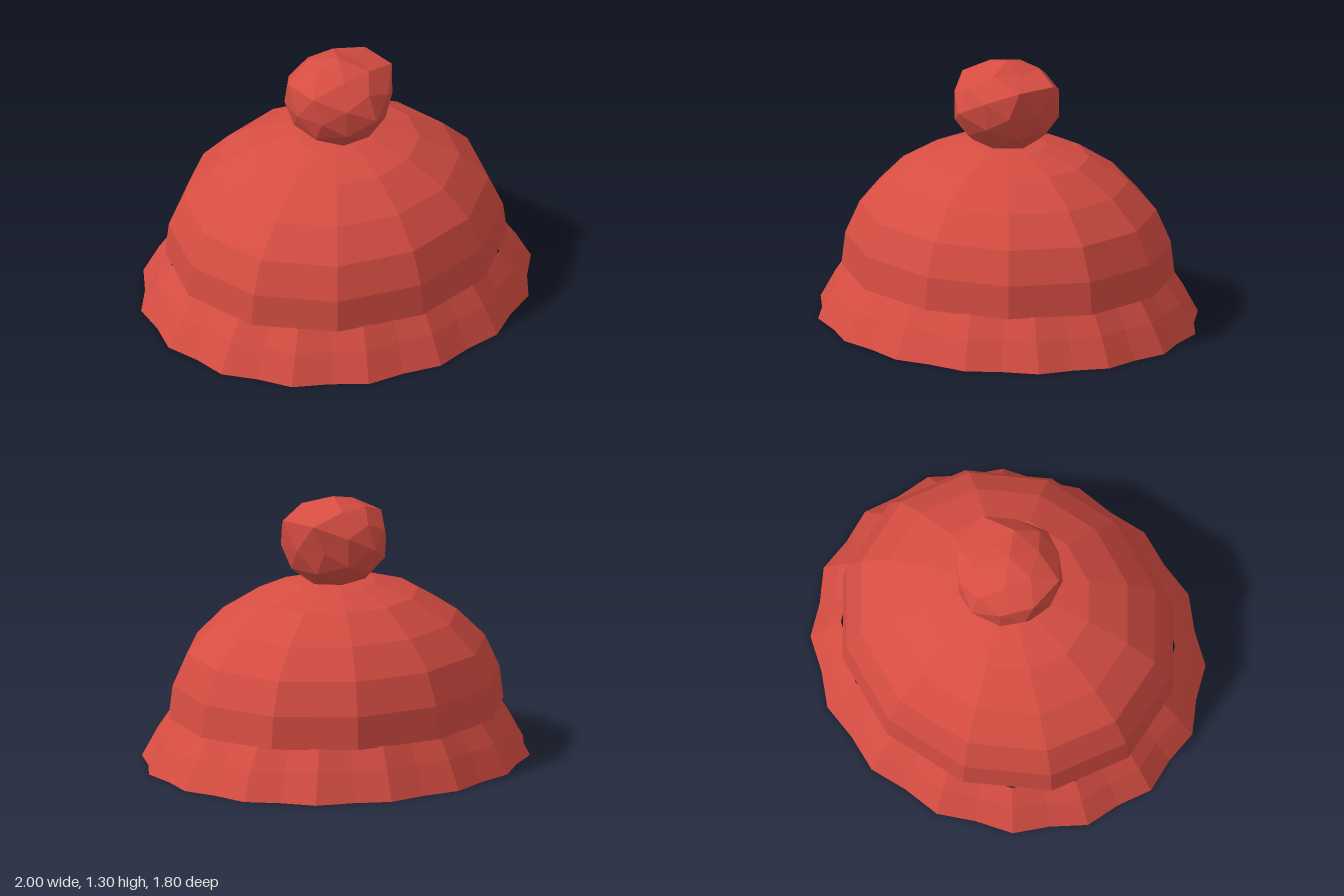
import * as THREE from 'three';

const RX = 1, RZ = 0.9; // the hat is slightly oval

// Faceted shell through oval rings; profile = [radius, height] from bottom to top
function shell(profile, sides, turn, ripple = () => 1) {
  const pos = [], index = [];
  profile.forEach(([r, y]) => {
    for (let i = 0; i < sides; i++) {
      const a = turn + (i / sides) * Math.PI * 2;
      const k = r * ripple(i);
      pos.push(RX * k * Math.cos(a), y, RZ * k * Math.sin(a));
    }
  });
  for (let j = 0; j < profile.length - 1; j++) {
    for (let i = 0; i < sides; i++) {
      const n = (i + 1) % sides;
      const a = j * sides + i, b = j * sides + n, c = a + sides, d = b + sides;
      index.push(a, c, b);
      if (profile[j + 1][0] > 0) index.push(b, c, d);
    }
  }
  const geo = new THREE.BufferGeometry();
  geo.setAttribute('position', new THREE.Float32BufferAttribute(pos, 3));
  geo.setIndex(index);
  const flat = geo.toNonIndexed();
  flat.computeVertexNormals();
  return flat;
}

// Lumpy ball: a subdivided icosahedron with a few corners pulled or dented
function lumpyBall() {
  const geo = new THREE.IcosahedronGeometry(1, 1);
  const lumps = [
    [0.81, 0.5, 0.31, 1.2], [0.81, 0.5, -0.31, 1.2], // raised ridge
    [0.53, 0.85, 0, 0.9],                            // dent above the ridge
    [-0.81, 0.5, 0.31, 1.13], [-0.81, 0.5, -0.31, 1.13],
    [0, 0, 1, 1.06], [0, 0, -1, 1.02], [0.85, 0, -0.53, 0.96],
    [-0.31, 0.81, 0.5, 0.97], [0.5, -0.31, 0.81, 0.95],
  ].map(([x, y, z, k]) => ({ dir: new THREE.Vector3(x, y, z).normalize(), k }));
  const p = geo.attributes.position, v = new THREE.Vector3();
  for (let i = 0; i < p.count; i++) {
    v.fromBufferAttribute(p, i);
    const lump = lumps.find(l => l.dir.dot(v) > 0.98);
    if (lump) v.multiplyScalar(lump.k);
    p.setXYZ(i, v.x * 0.265, v.y * 0.225, v.z * 0.27);
  }
  geo.computeVertexNormals();
  return geo;
}

export function createModel() {
  const group = new THREE.Group();
  const wool = new THREE.MeshStandardMaterial({
    color: 0xd64d42, flatShading: true, side: THREE.DoubleSide,
  });
  const add = (name, geo) => {
    const mesh = new THREE.Mesh(geo, wool);
    mesh.name = name;
    group.add(mesh);
    return mesh;
  };

  // Twelve-sided crown, open underneath
  add('crown', shell([
    [0.87, 0.24], [0.85, 0.4], [0.775, 0.56], [0.63, 0.7],
    [0.425, 0.82], [0.205, 0.88], [0, 0.9],
  ], 12, 0.127));

  // Flared, ribbed brim tucked under the crown
  add('brim', shell([[1.005, 0], [0.925, 0.14], [0.85, 0.245]], 32, 0.1,
    i => (i % 2 ? 0.967 : 1)));

  // Pompom on top
  add('pompom', lumpyBall()).position.set(0.005, 1.08, 0.012);

  return group;
}
